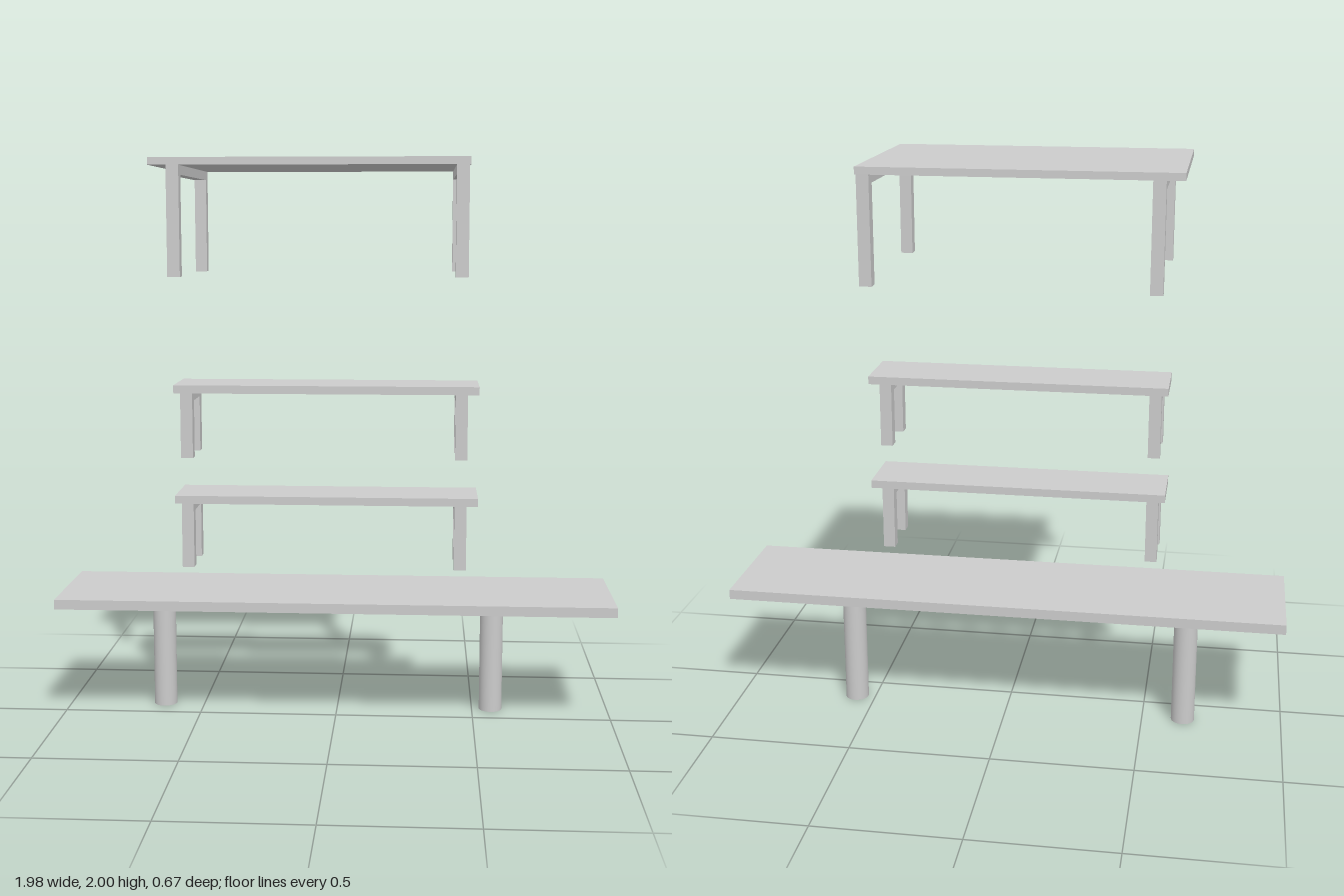
import * as THREE from 'three';

const material = new THREE.MeshStandardMaterial({ color: 0xcccccc });

// Box given by its [min, max] extent on each axis
function box(name, [x0, x1], [y0, y1], [z0, z1]) {
  const mesh = new THREE.Mesh(new THREE.BoxGeometry(x1 - x0, y1 - y0, z1 - z0), material);
  mesh.position.set((x0 + x1) / 2, (y0 + y1) / 2, (z0 + z1) / 2);
  mesh.name = name;
  return mesh;
}

// U-shaped end frame: two legs joined by a rail, extruded along x
function legFrame(x, width, [y0, y1], [z0, z1], leg, rail) {
  const shape = new THREE.Shape([
    [z0, y0], [z0 + leg, y0], [z0 + leg, y1 - rail], [z1 - leg, y1 - rail],
    [z1 - leg, y0], [z1, y0], [z1, y1], [z0, y1],
  ].map(([z, y]) => new THREE.Vector2(-z, y)));
  const geometry = new THREE.ExtrudeGeometry(shape, { depth: width, bevelEnabled: false });
  geometry.rotateY(Math.PI / 2);
  const mesh = new THREE.Mesh(geometry, material);
  mesh.position.x = x;
  mesh.name = 'legFrame';
  return mesh;
}

// Flat top carried by two end frames
function framedTable(name, { x, y, z, top, frameX, frameZ, floor, leg, rail }) {
  const group = new THREE.Group();
  group.name = name;
  group.add(box('top', x, [y - top, y], z));
  for (const fx of frameX) {
    group.add(legFrame(fx, leg, [floor, y - top], frameZ, leg, rail));
  }
  return group;
}

export function createModel() {
  const model = new THREE.Group();
  model.name = 'tablesAndBenches';

  // Large table at the top
  model.add(framedTable('largeTable', {
    x: [-0.599, 0.459], y: 2, z: [-0.333, 0.333], top: 0.025,
    frameX: [-0.539, 0.413], frameZ: [-0.329, 0.331], floor: 1.61, leg: 0.042, rail: 0.031,
  }));

  // Two identical benches, one above the other
  for (const [name, y] of [['upperBench', 1.231], ['lowerBench', 0.842]]) {
    model.add(framedTable(name, {
      x: [-0.555, 0.503], y, z: [-0.063, 0.159], top: 0.028,
      frameX: [-0.532, 0.422], frameZ: [-0.058, 0.156], floor: y - 0.255, leg: 0.042, rail: 0.029,
    }));
  }

  // Long table on two round posts
  const longTable = new THREE.Group();
  longTable.name = 'longTable';
  longTable.add(box('top', [-0.992, 0.992], [0.43, 0.465], [-0.261, 0.176]));
  for (const x of [-0.647, 0.569]) {
    const post = new THREE.Mesh(new THREE.CylinderGeometry(0.042, 0.042, 0.43, 32), material);
    post.position.set(x, 0.215, -0.109);
    post.name = 'post';
    longTable.add(post);
  }
  model.add(longTable);

  return model;
}
